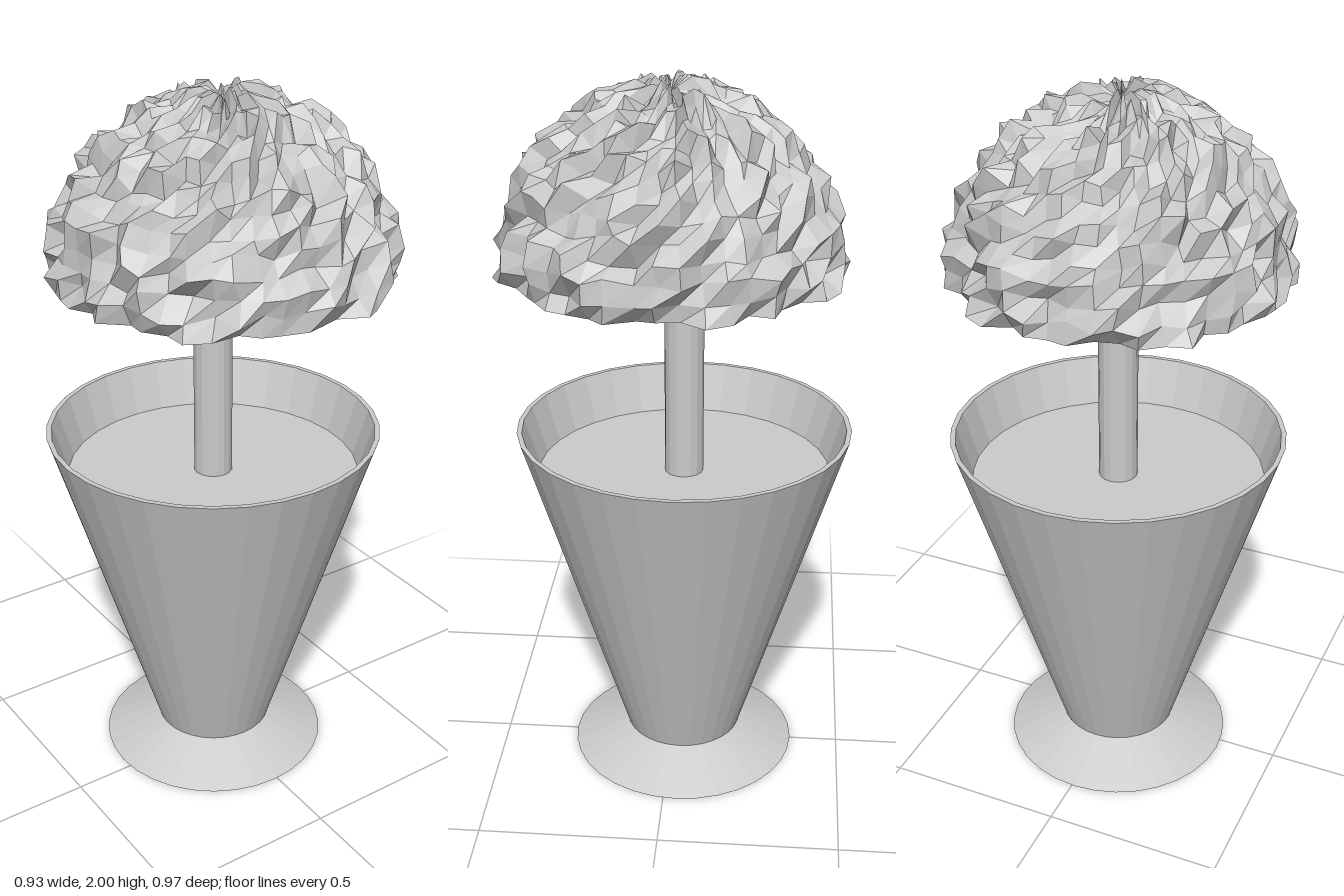
import * as THREE from 'three';

const SIDES = 32;
const material = new THREE.MeshStandardMaterial({
  color: 0xcccccc, flatShading: true, side: THREE.DoubleSide,
});

function add(parent, name, geometry, y = 0) {
  const mesh = new THREE.Mesh(geometry, material);
  mesh.name = name;
  mesh.position.y = y;
  parent.add(mesh);
  return mesh;
}

// Small seeded generator, returns -1..1
function seeded(seed) {
  let s = seed;
  return () => {
    s = (s * 1664525 + 1013904223) % 4294967296;
    return (s / 4294967296) * 2 - 1;
  };
}

// Open half sphere of jittered rings that meet in a sunken tip
function foliageGeometry(columns = 48, rows = 15, radius = 0.45) {
  const noise = seeded(11);
  const positions = [];
  const index = [];
  for (let j = 0; j < rows; j++) {
    for (let i = 0; i < columns; i++) {
      const rise = (j + (j ? noise() * 0.22 : 0)) / rows * Math.PI / 2;
      const turn = (i + noise() * 0.2) / columns * Math.PI * 2;
      const r = radius + noise() * 0.033;
      positions.push(
        r * Math.cos(rise) * Math.sin(turn),
        r * Math.sin(rise) * 1.05,
        r * Math.cos(rise) * Math.cos(turn),
      );
      const a = j * columns + i;
      const b = j * columns + (i + 1) % columns;
      if (j < rows - 1) index.push(a, b, b + columns, a, b + columns, a + columns);
      else index.push(a, b, rows * columns);
    }
  }
  positions.push(0, radius * 1.03, 0);
  const geometry = new THREE.BufferGeometry();
  geometry.setAttribute('position', new THREE.Float32BufferAttribute(positions, 3));
  geometry.setIndex(index);
  geometry.computeVertexNormals();
  return geometry;
}

export function createModel() {
  const model = new THREE.Group();
  model.name = 'pottedTree';

  // Planter and trunk share an axis slightly behind the crown's
  const planter = new THREE.Group();
  planter.name = 'planter';
  planter.position.set(-0.007, 0, -0.035);
  model.add(planter);

  // Flared foot, open underneath
  add(planter, 'foot', new THREE.CylinderGeometry(0.165, 0.325, 0.07, SIDES, 1, true), 0.035);

  // Hollow pot: bottom, outer wall, thin rim, inner wall
  const profile = [[0, 0.03], [0.155, 0.03], [0.464, 1.035], [0.45, 1.035], [0.407, 0.895]]
    .map(([r, y]) => new THREE.Vector2(r, y));
  add(planter, 'pot', new THREE.LatheGeometry(profile, SIDES));

  // Soil surface
  const soil = new THREE.CircleGeometry(0.41, SIDES).rotateX(-Math.PI / 2);
  add(planter, 'soil', soil, 0.9);

  // Trunk reaching up inside the crown
  add(planter, 'trunk', new THREE.CylinderGeometry(0.054, 0.054, 0.9, 16), 1.35);

  add(model, 'foliage', foliageGeometry(), 1.5);
  return model;
}
